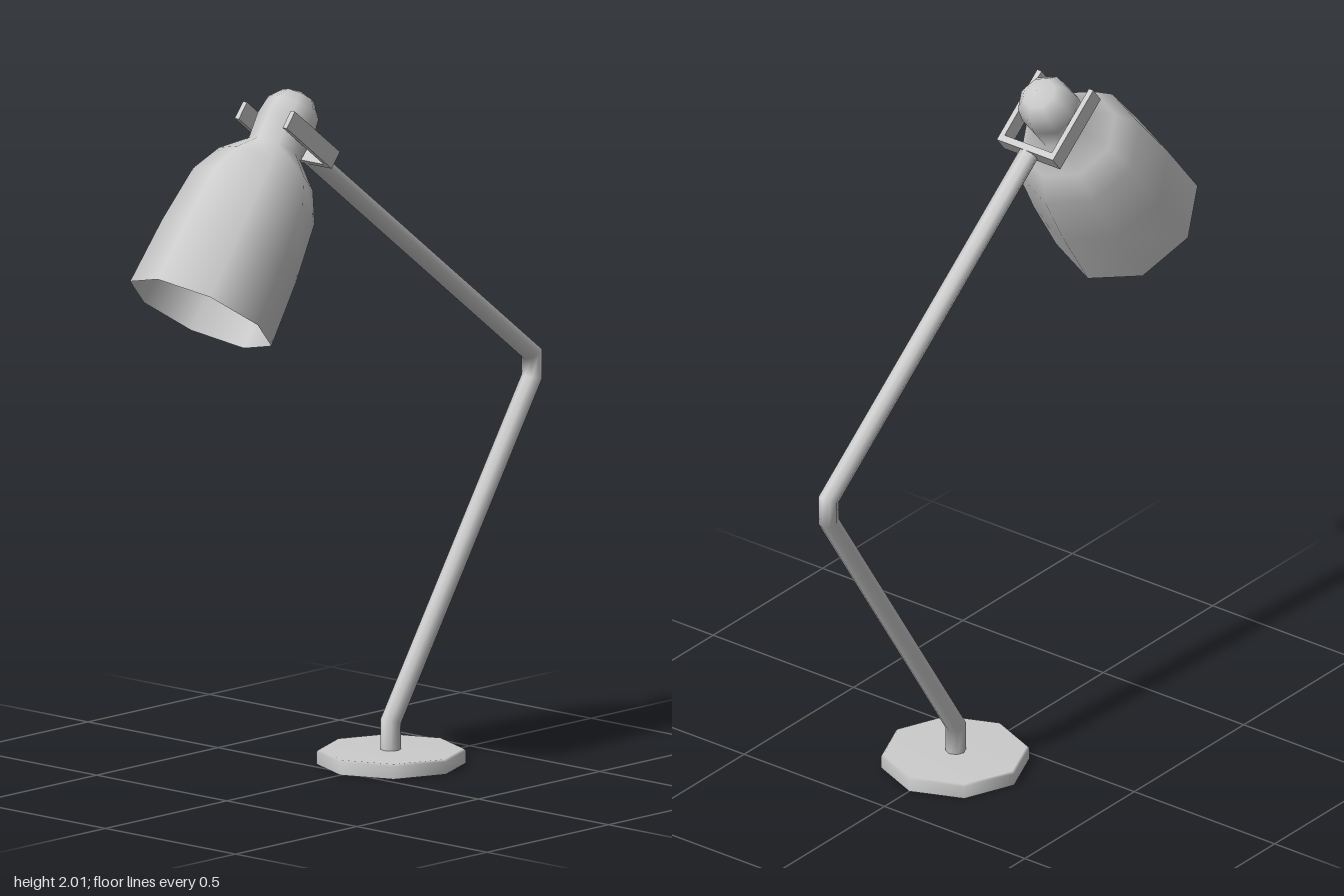
import * as THREE from 'three';

const grey = new THREE.MeshStandardMaterial({ color: 0xcccccc, side: THREE.DoubleSide });

function add(parent, name, geometry, x = 0, y = 0, z = 0) {
  const mesh = new THREE.Mesh(geometry, grey);
  mesh.name = name;
  mesh.position.set(x, y, z);
  parent.add(mesh);
  return mesh;
}

// Eight-sided turned shape from [radius, height] pairs, bottom to top
function turned(points) {
  return new THREE.LatheGeometry(points.map(([r, y]) => new THREE.Vector2(r, y)), 8);
}

// Round bar with mitred bends, following [z, y] points in the plane x = 0
function bentBar(path, radius, sides) {
  const pts = path.map(([z, y]) => new THREE.Vector3(0, y, z));
  const positions = [], index = [];
  pts.forEach((p, i) => {
    const before = p.clone().sub(pts[Math.max(i - 1, 0)]).normalize();
    const after = pts[Math.min(i + 1, pts.length - 1)].clone().sub(p).normalize();
    const t = before.clone().add(after).normalize();
    const miter = radius / t.dot(i ? before : after);
    for (let j = 0; j < sides; j++) {
      const a = (j / sides) * Math.PI * 2;
      const s = Math.sin(a) * miter;
      positions.push(Math.cos(a) * radius, p.y + t.z * s, p.z - t.y * s);
      if (i === 0) continue;
      const k = (j + 1) % sides, lo = (i - 1) * sides, hi = i * sides;
      index.push(lo + j, lo + k, hi + k, lo + j, hi + k, hi + j);
    }
  });
  const g = new THREE.BufferGeometry();
  g.setAttribute('position', new THREE.Float32BufferAttribute(positions, 3));
  g.setIndex(index);
  g.computeVertexNormals();
  return g;
}

export function createModel() {
  const lamp = new THREE.Group();
  lamp.name = 'deskLamp';

  // Shallow base, open underneath
  add(lamp, 'base', turned([[0.21, 0], [0.21, 0.036], [0.203, 0.042], [0, 0.042]]), 0, 0, -0.177);

  // Arm with a bend above the base and a short upright elbow
  add(lamp, 'arm', bentBar([
    [-0.175, 0.03], [-0.175, 0.122], [-0.755, 1.02], [-0.755, 1.09], [0.165, 1.807],
  ], 0.029, 8));

  // U-shaped bracket that holds the shade
  const bracket = new THREE.Group();
  bracket.name = 'bracket';
  bracket.position.set(0, 1.802, 0.158);
  bracket.rotation.x = -0.663;
  lamp.add(bracket);
  add(bracket, 'bracketBack', new THREE.BoxGeometry(0.2, 0.055, 0.02), 0, 0, 0.01);
  for (const side of [-1, 1]) {
    add(bracket, side > 0 ? 'bracketLeft' : 'bracketRight',
      new THREE.BoxGeometry(0.016, 0.055, 0.235), side * 0.092, 0, 0.1175);
  }

  // Tilted head: its origin is the centre of the shade opening
  const head = new THREE.Group();
  head.name = 'head';
  head.position.set(0, 1.417, 0.607);
  head.rotation.x = -0.622;
  lamp.add(head);
  add(head, 'shade', turned([
    [0.2185, 0], [0.208, 0.2], [0.188, 0.375], [0.145, 0.46], [0.08, 0.522],
    [0.086, 0.6], [0.078, 0.655], [0.05, 0.69], [0, 0.706],
  ]));
  add(head, 'bulb', turned([
    [0, 0.06], [0.045, 0.15], [0.055, 0.22], [0.035, 0.33], [0.035, 0.52],
  ]));

  return lamp;
}
